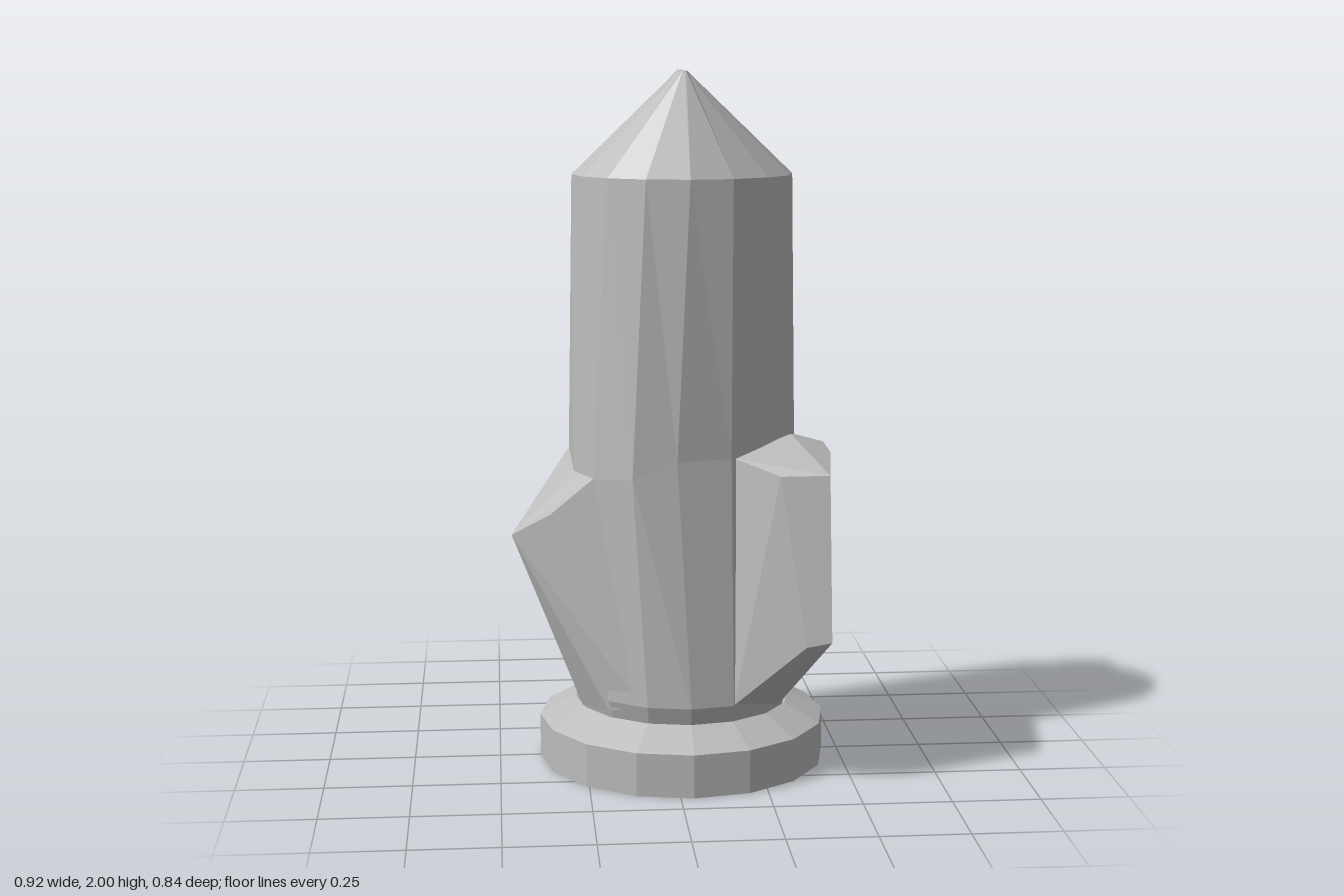
import * as THREE from 'three';
import { ConvexGeometry } from 'three/addons/geometries/ConvexGeometry.js';

const SIDES = 16;
const CX = 0.037; // axis of the tower

// One cross-section: an ellipse with its own front and back depth
function ring(y, rx, zFront, zBack) {
  return Array.from({ length: SIDES }, (_, i) => {
    const a = (i / SIDES) * Math.PI * 2;
    const c = Math.cos(a);
    return [CX + rx * Math.sin(a), y, c * (c > 0 ? zFront : zBack)];
  });
}

// Skin a stack of cross-sections and cap the top
function loft(rings) {
  const idx = [];
  for (let r = 0; r < rings.length - 1; r++) {
    for (let i = 0; i < SIDES; i++) {
      const a = r * SIDES + i, b = r * SIDES + ((i + 1) % SIDES);
      idx.push(a, b, a + SIDES, b, b + SIDES, a + SIDES);
    }
  }
  const top = (rings.length - 1) * SIDES;
  for (let i = 1; i < SIDES - 1; i++) idx.push(top, top + i, top + i + 1);
  const g = new THREE.BufferGeometry();
  g.setAttribute('position', new THREE.Float32BufferAttribute(rings.flat(2), 3));
  g.setIndex(idx);
  g.computeVertexNormals();
  return g;
}

const hull = (pts) => new ConvexGeometry(pts.map((p) => new THREE.Vector3(...p)));

export function createModel() {
  const group = new THREE.Group();
  const grey = new THREE.MeshStandardMaterial({ color: 0xbcbcbc, flatShading: true });
  grey.name = 'grey';

  const add = (name, geometry) => {
    const mesh = new THREE.Mesh(geometry, grey);
    mesh.name = name;
    group.add(mesh);
    return mesh;
  };

  // Round foot with a bevelled top
  add('base', new THREE.CylinderGeometry(0.418, 0.418, 0.125, SIDES)).position.set(CX, 0.0625, 0);
  add('baseBevel', new THREE.CylinderGeometry(0.315, 0.418, 0.055, SIDES, 1, true)).position.set(CX, 0.1525, 0);

  // Tapering shaft with an uneven, hewn waist
  const shoulder = ring(1.71, 0.315, 0.267, 0.235);
  const waist = [
    [0.0, 0.93, 0.285], [0.155, 0.93, 0.25], [0.25, 0.95, 0.165], [0.335, 0.96, 0.08],
    [0.365, 0.93, 0.0], [0.367, 0.9, -0.05], [0.32, 0.88, -0.14], [0.21, 0.88, -0.252],
    [0.037, 0.88, -0.285], [-0.09, 0.88, -0.262], [-0.185, 0.88, -0.21], [-0.26, 0.88, -0.11],
    [-0.29, 0.92, -0.03], [-0.282, 0.88, 0.13], [-0.23, 0.87, 0.2], [-0.125, 0.88, 0.285],
  ];
  add('shaft', loft([
    ring(0.17, 0.305, 0.31, 0.31),
    ring(0.23, 0.32, 0.33, 0.33),
    waist,
    shoulder,
  ]));

  // Roof pinched into a narrow ridge running front to back
  add('roof', loft([shoulder, ring(2, 0.01, 0.13, 0.13)]));

  // Large angular outcrop on the left front: an overhanging brow
  // and a lower body that meet in a diagonal crease
  const outcropBack = [
    [0.455, 0.92, 0.11], [0.45, 0.93, 0.0], [0.345, 0.968, 0.08], [0.37, 0.945, -0.05],
    [0.35, 0.425, 0.41], [0.16, 0.23, 0.3], [0.3, 0.2, 0.2],
  ];
  add('leftOutcropBrow', hull([
    ...outcropBack,
    [0.16, 0.93, 0.23], [0.28, 0.9, 0.36], [0.41, 0.91, 0.405], [0.25, 0.95, 0.14],
  ]));
  add('leftOutcropBody', hull([
    ...outcropBack,
    [0.425, 0.43, 0.385], [0.445, 0.37, 0.2], [0.445, 0.355, -0.05],
    [0.34, 0.2, 0.0], [0.27, 0.25, -0.23], [0.32, 0.88, -0.14],
  ]));

  // Smaller pointed outcrop on the right
  add('rightOutcrop', hull([
    [-0.46, 0.69, 0.1], [-0.35, 0.76, 0.157], [-0.29, 0.92, -0.03], [-0.282, 0.88, 0.13],
    [-0.23, 0.87, 0.2], [-0.26, 0.18, 0.1], [-0.19, 0.2, 0.225], [-0.1, 0.23, 0.29],
    [-0.25, 0.85, -0.115], [-0.258, 0.22, -0.126],
  ]));

  return group;
}
